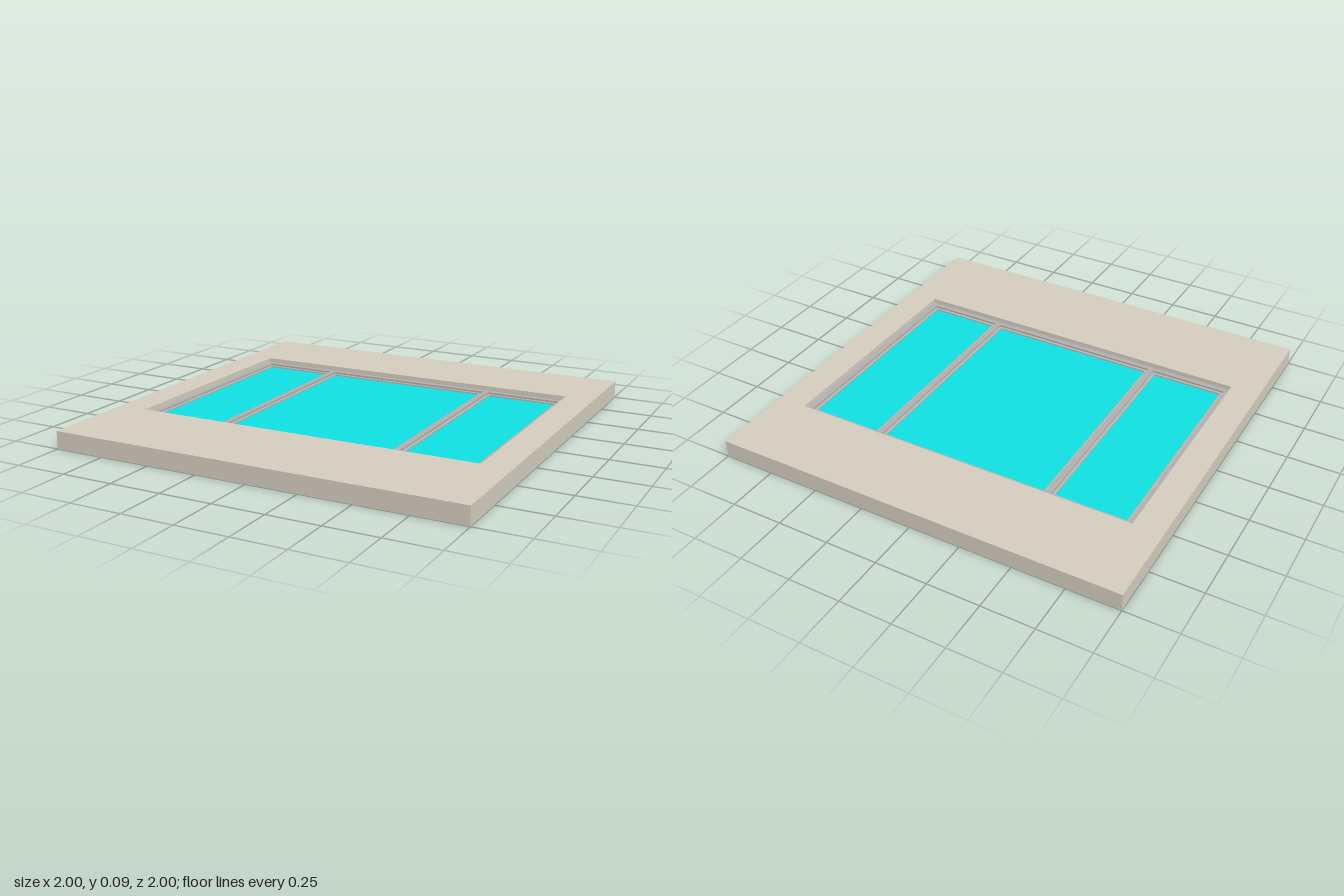
import * as THREE from 'three';

const WALL = 0xd3ccbe, FRAME = 0xb0aeae, SASH = 0xbab5af, GLASS = 0x0fdfe0;

// Rectangle outline in plan; y of the shape becomes -z after lying flat
function trace(path, [x0, x1, z0, z1]) {
  path.moveTo(x0, -z1);
  path.lineTo(x1, -z1);
  path.lineTo(x1, -z0);
  path.lineTo(x0, -z0);
  path.closePath();
  return path;
}

// Flat slab with rectangular openings, between heights y0 and y1
function slab(name, color, outer, holes, y0, y1) {
  const shape = trace(new THREE.Shape(), outer);
  shape.holes = holes.map((h) => trace(new THREE.Path(), h));
  const geometry = new THREE.ExtrudeGeometry(shape, { depth: y1 - y0, bevelEnabled: false });
  geometry.rotateX(-Math.PI / 2);
  geometry.translate(0, y0, 0);
  const mesh = new THREE.Mesh(geometry, new THREE.MeshStandardMaterial({ color }));
  mesh.name = name;
  return mesh;
}

const inset = ([x0, x1, z0, z1], d) => [x0 + d, x1 - d, z0 + d, z1 - d];

export function createModel() {
  const model = new THREE.Group();
  model.name = 'windowWall';

  const opening = [-0.858, 0.858, -0.604, 0.538];
  const bays = {
    right: [-0.83, -0.457, -0.577, 0.513],
    middle: [-0.43, 0.43, -0.577, 0.513],
    left: [0.457, 0.83, -0.577, 0.513],
  };

  // Wall panel and the frame with its two mullions
  model.add(slab('wall', WALL, [-1, 1, -1, 1], [opening], 0, 0.085));
  model.add(slab('windowFrame', FRAME, opening, Object.values(bays), 0.023, 0.062));

  // Each bay holds a slim sash and a pane
  for (const [side, bay] of Object.entries(bays)) {
    const pane = inset(bay, 0.014);
    model.add(slab(side + 'Sash', SASH, bay, [pane], 0.032, 0.053));
    model.add(slab(side + 'Pane', GLASS, pane, [], 0.039, 0.046));
  }
  return model;
}
